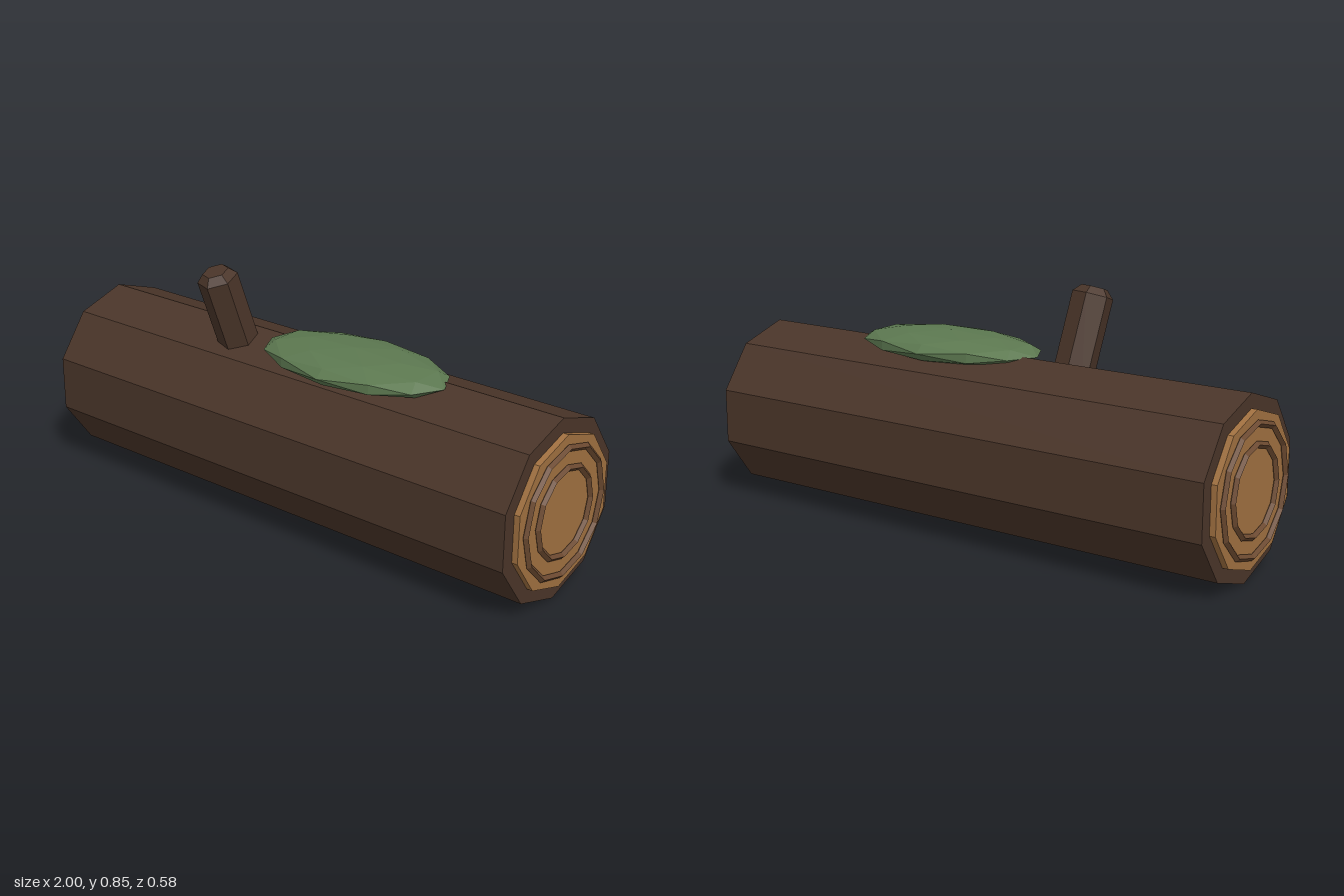
import * as THREE from 'three';

const mat = (color) => new THREE.MeshStandardMaterial({ color, flatShading: true });

export function createModel() {
  const group = new THREE.Group();
  const bark = mat(0x4a3529);
  const wood = mat(0xa07040);
  const ringMat = mat(0x6b4930);
  const moss = mat(0x5c7850);
  const AXIS_Y = 0.306;

  const add = (name, geometry, material, x, y, z) => {
    const mesh = new THREE.Mesh(geometry, material);
    mesh.name = name;
    mesh.position.set(x, y, z);
    group.add(mesh);
    return mesh;
  };

  // Ten-sided cylinder lying along x with a corner pointing up
  const lyingCylinder = (radius, length) =>
    new THREE.CylinderGeometry(radius, radius, length, 10)
      .rotateY(Math.PI / 2)
      .rotateZ(Math.PI / 2);

  add('logBark', lyingCylinder(0.306, 1.93), bark, 0, AXIS_Y, 0);

  // Cut ends with two raised growth rings each
  for (const side of [1, -1]) {
    const end = side > 0 ? 'left' : 'right';
    add(end + 'CutEnd', lyingCylinder(0.257, 0.04), wood, side * 0.965, AXIS_Y, 0);
    for (const [label, radius] of [['OuterRing', 0.214], ['InnerRing', 0.148]]) {
      const ring = new THREE.TorusGeometry(radius, 0.0115, 4, 12).rotateY(Math.PI / 2);
      add(end + label, ring, ringMat, side * 0.988, AXIS_Y, 0);
    }
  }

  // Leaning branch stub: six sides, chamfered tip, origin at the tip
  const profile = [[0, -0.38], [0.07, -0.38], [0.07, -0.026], [0.045, 0], [0, 0]]
    .map(([r, y]) => new THREE.Vector2(r, y));
  const stub = add('branchStub', new THREE.LatheGeometry(profile, 6).rotateY(0.22), bark,
    -0.305, 0.841, 0.161);
  stub.rotation.set(0.314, 0, 0.07);

  // Flattened moss patch on top
  const patch = add('mossPatch', new THREE.IcosahedronGeometry(1, 1), moss, 0.2, 0.607, 0.043);
  patch.scale.set(0.36, 0.053, 0.193);

  return group;
}
